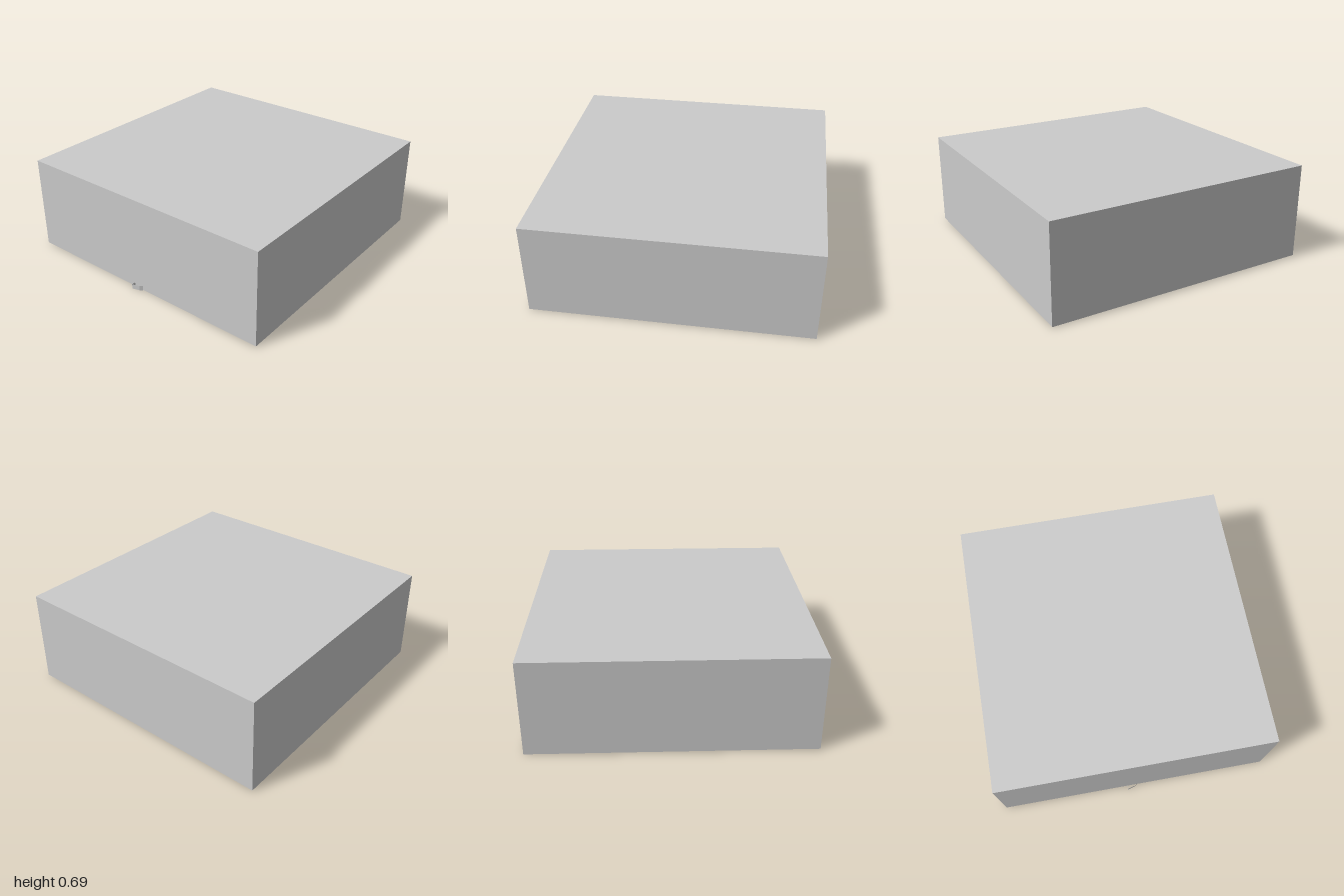
import * as THREE from 'three';

const material = new THREE.MeshStandardMaterial({
  color: 0xcccccc, flatShading: true, side: THREE.DoubleSide,
});

function addPart(group, name, geometry, x, y, z) {
  const mesh = new THREE.Mesh(geometry, material);
  mesh.name = name;
  mesh.position.set(x, y, z);
  group.add(mesh);
}

// Box of thin sheets, open at the bottom
function openBox(w, h, d) {
  const box = new THREE.BoxGeometry(w, h, d);
  const index = Array.from(box.index.array);
  index.splice(18, 6); // the fourth side faces down
  box.setIndex(index);
  box.clearGroups();
  return box;
}

// Upright thin strip following points [x, z]
function strip(points, height) {
  const positions = [], index = [];
  points.forEach(([x, z], i) => {
    positions.push(x, 0, z, x, height, z);
    if (i > 0) {
      const a = 2 * i - 2;
      index.push(a, a + 2, a + 3, a, a + 3, a + 1);
    }
  });
  const geometry = new THREE.BufferGeometry();
  geometry.setAttribute('position', new THREE.Float32BufferAttribute(positions, 3));
  geometry.setIndex(index);
  geometry.computeVertexNormals();
  return geometry;
}

export function createModel() {
  const model = new THREE.Group();
  model.name = 'openBoxWithRing';
  const bottom = 0.005, height = 0.69, centreZ = -0.015;

  // Outer cover
  addPart(model, 'cover', openBox(1.96, height, 1.97), 0, bottom + height / 2, centreZ);

  // Open ring inside the cover
  const ring = new THREE.CylinderGeometry(0.209, 0.209, 0.18, 20, 1, true);
  addPart(model, 'innerRing', ring, 0, 0.14, centreZ);

  // Small catch at the lower edge of the front
  const catchPath = [[-0.055, 0.97], [-0.055, 1], [0, 0.985], [0.018, 0.97]];
  addPart(model, 'frontCatch', strip(catchPath, 0.035), 0, 0, 0);

  return model;
}
